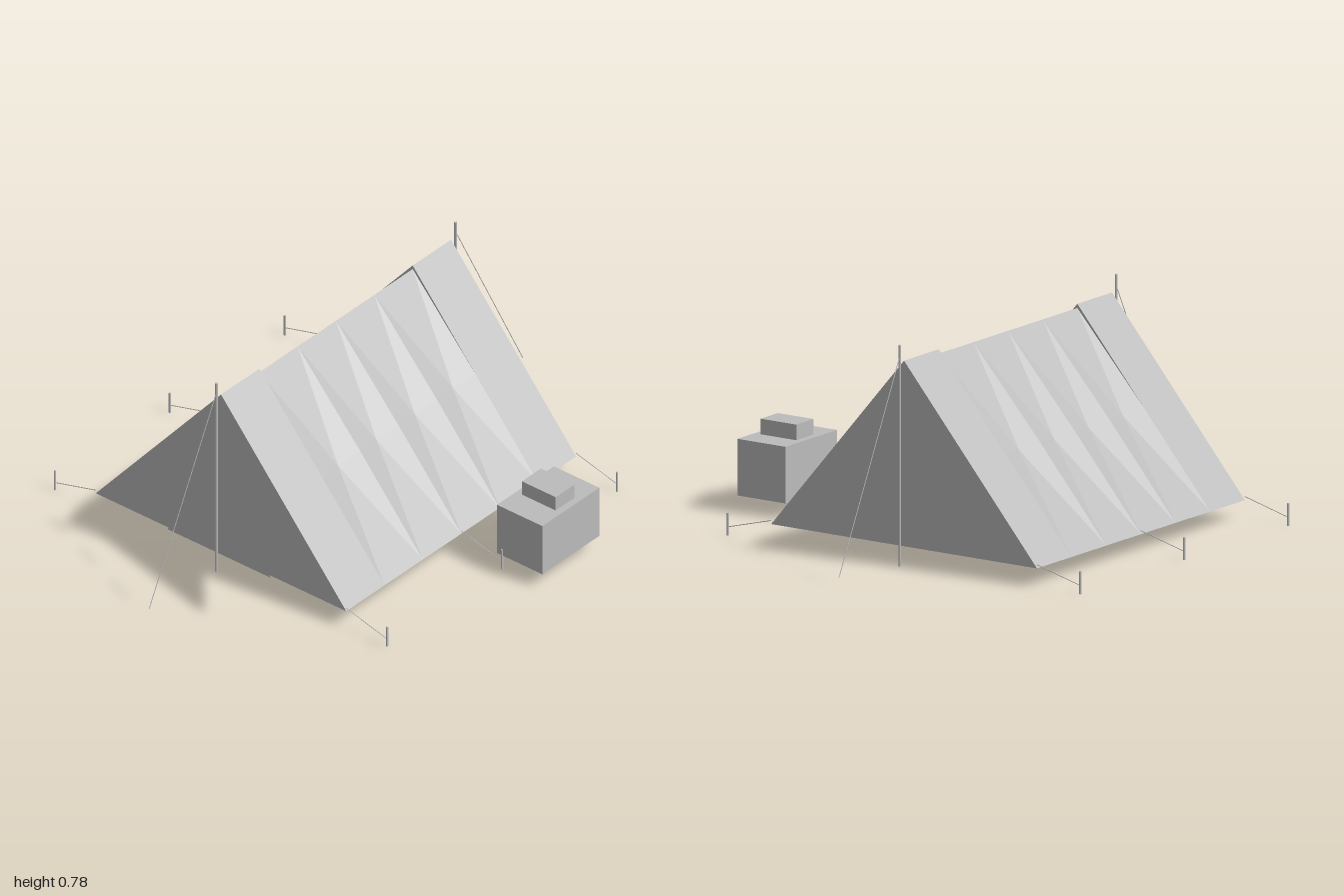
import * as THREE from 'three';

const grey = new THREE.MeshStandardMaterial({ color: 0xbcbcbc, flatShading: true, side: THREE.DoubleSide });
grey.name = 'canvas grey';

const CX = -0.09, BASE = 0.065, RIDGE = 0.72, HALF = 0.56, END = 0.615, STEP = 0.41;

function add(parent, name, geometry) {
  const mesh = new THREE.Mesh(geometry, grey);
  mesh.name = name;
  parent.add(mesh);
  return mesh;
}

// Sheet from a list of triangles, each three [x, y, z] corners
function sheet(triangles) {
  const g = new THREE.BufferGeometry();
  g.setAttribute('position', new THREE.Float32BufferAttribute(triangles.flat(2), 3));
  g.computeVertexNormals();
  return g;
}

// Thin round bar between two points
function bar(parent, name, a, b, radius, sides = 8) {
  const from = new THREE.Vector3(...a), to = new THREE.Vector3(...b);
  const dir = to.clone().sub(from);
  const mesh = add(parent, name, new THREE.CylinderGeometry(radius, radius, dir.length(), sides));
  mesh.position.copy(from).add(to).multiplyScalar(0.5);
  mesh.quaternion.setFromUnitVectors(new THREE.Vector3(0, 1, 0), dir.normalize());
}

// One roof slope: flat end strips and a sagging, pleated middle
function roofSide(s) {
  const tris = [];
  const tri = (a, b, c) => tris.push(s > 0 ? [a, b, c] : [a, c, b]);
  const top = (z, y = 0.705) => [CX, y, z];
  const low = z => [CX + s * HALF, BASE, z];
  const mid = (z, sag) => [CX + s * (HALF / 2 - sag * 0.76), (BASE + RIDGE) / 2 - sag * 0.65, z];

  for (const [z0, z1] of [[-END, -STEP], [STEP, END]]) {
    tri(top(z0, RIDGE), top(z1, RIDGE), low(z1));
    tri(top(z0, RIDGE), low(z1), low(z0));
  }
  // small step where the middle hangs below the end strips
  tri(top(-STEP), top(-STEP, RIDGE), mid(-STEP, 0));
  tri(top(STEP, RIDGE), top(STEP), mid(STEP, 0));

  const w = STEP / 2;
  for (let i = -2; i < 2; i++) {
    const z0 = i * w, z1 = z0 + w;
    const m0 = mid(z0, 0), m1 = mid(z1, 0), valley = mid(z0 + w / 2, 0.018);
    tri(top(z0), top(z1), valley);
    tri(top(z0), valley, m0);
    tri(top(z1), m1, valley);
    tri(low(z1), low(z0), valley);
    tri(low(z0), m0, valley);
    tri(low(z1), valley, m1);
  }
  return sheet(tris);
}

export function createModel() {
  const model = new THREE.Group();
  model.name = 'ridgeTent';

  // Roof slopes
  add(model, 'leftRoof', roofSide(1));
  add(model, 'rightRoof', roofSide(-1));

  // End walls, poles and end guy lines
  for (const s of [1, -1]) {
    const end = s > 0 ? 'front' : 'back', z = s * END;
    add(model, end + 'Wall', sheet([[[CX - s * HALF, BASE, z], [CX + s * HALF, BASE, z], [CX, RIDGE, z]]]));
    bar(model, end + 'Pole', [CX, 0, s * 0.64], [CX, 0.78, s * 0.64], 0.005);
    bar(model, end + 'GuyLine', [CX, 0.74, s * 0.64], [CX, 0.03, s * 0.999], 0.0015, 5);
  }

  // Door panel and the flap folded open
  add(model, 'doorPanel', sheet([[[CX - 0.23, BASE, 0.625], [CX + 0.23, BASE, 0.625], [CX, 0.56, 0.625]]]));
  add(model, 'doorFlap', sheet([[[CX, BASE, 0.63], [CX, 0.56, 0.63], [0.09, BASE, 0.85]]]));

  // Side stakes and guy lines
  for (const s of [1, -1]) {
    for (const z of [-END, 0, END]) {
      const x = CX + s * 0.743;
      bar(model, 'stake', [x, 0, z], [x, 0.08, z], 0.004);
      bar(model, 'sideGuyLine', [CX + s * HALF, 0.078, z], [x, 0.03, z], 0.0015, 5);
    }
  }

  // Supply box with a small block on top
  add(model, 'supplyBox', new THREE.BoxGeometry(0.203, 0.2, 0.305)).position.set(0.731, 0.155, -0.153);
  add(model, 'boxTop', new THREE.BoxGeometry(0.151, 0.055, 0.102)).position.set(0.731, 0.2825, -0.154);

  return model;
}
